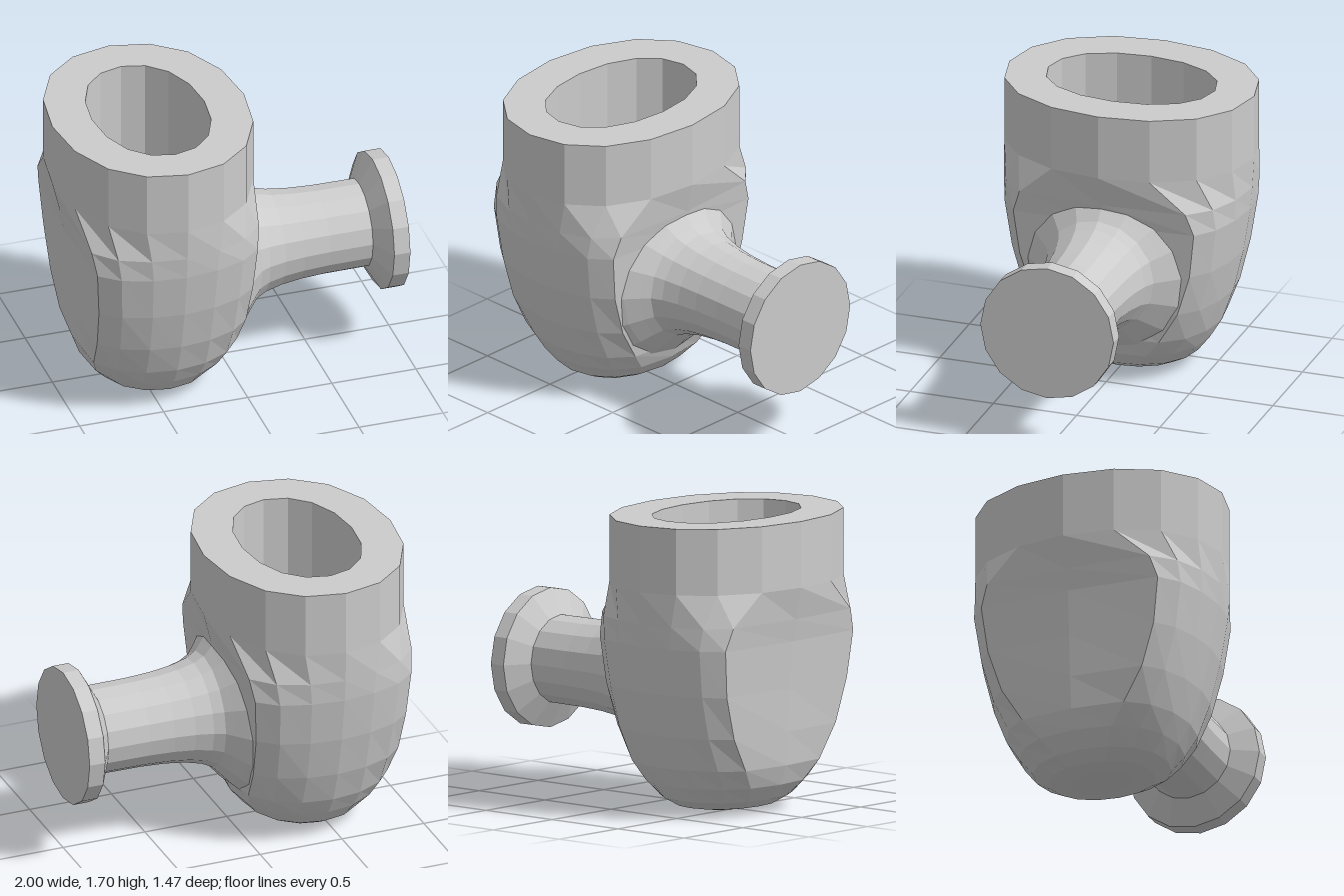
import * as THREE from 'three';

const SIDES = 16;
const CENTER_X = -0.43;

// Quarter outlines from the x axis to the z axis, as fractions of the half sizes.
const OVAL = [[1, 0], [0.93, 0.4], [0.72, 0.728], [0.4, 0.93], [0, 1]];
const FLAT_SIDED = [[1, 0], [0.95, 0.76], [0.72, 0.89], [0.38, 0.97], [0, 1]];

// Point j of a ring; flat = 0 is an oval, flat = 1 has broad flat sides.
function ringPoint([y, a, b, flat], j) {
  const k = j % SIDES;
  const half = k > 8 ? SIDES - k : k;
  const q = half > 4 ? 8 - half : half;
  const mix = (axis) => THREE.MathUtils.lerp(OVAL[q][axis], FLAT_SIDED[q][axis], flat);
  const x = a * mix(0) * (half > 4 ? -1 : 1);
  const z = b * mix(1) * (k > 8 ? -1 : 1);
  return [CENTER_X + x, y, z];
}

// Skin the rings in order, dropping the triangles that collapse at the poles.
function skinRings(rings) {
  const pos = [];
  for (let i = 0; i < rings.length - 1; i++) {
    for (let j = 0; j < SIDES; j++) {
      const a = ringPoint(rings[i], j);
      const b = ringPoint(rings[i], j + 1);
      const c = ringPoint(rings[i + 1], j);
      const d = ringPoint(rings[i + 1], j + 1);
      if (rings[i][1] > 0) pos.push(...a, ...b, ...c);
      if (rings[i + 1][1] > 0) pos.push(...b, ...d, ...c);
    }
  }
  const geo = new THREE.BufferGeometry();
  geo.setAttribute('position', new THREE.Float32BufferAttribute(pos, 3));
  geo.computeVertexNormals();
  return geo;
}

export function createModel() {
  const group = new THREE.Group();
  const material = new THREE.MeshStandardMaterial({ color: 0xcccccc, flatShading: true });

  const add = (name, geometry) => {
    const mesh = new THREE.Mesh(geometry, material);
    mesh.name = name;
    group.add(mesh);
  };

  // Hollow bowl: cavity floor, cavity wall, rim, outer wall, rounded base.
  // Each ring is [height, half width x, half depth z, flatness of the sides].
  add('bowl', skinRings([
    [0.5, 0, 0, 0],
    [0.5, 0.333, 0.5, 0],
    [1.695, 0.333, 0.5, 0],
    [1.695, 0.57, 0.735, 0],
    [1.315, 0.57, 0.735, 0],
    [1.13, 0.525, 0.724, 0.8],
    [1.0, 0.502, 0.713, 1],
    [0.73, 0.482, 0.67, 1],
    [0.48, 0.468, 0.61, 0.85],
    [0.285, 0.453, 0.54, 0.5],
    [0.17, 0.41, 0.47, 0.2],
    [0.08, 0.335, 0.4, 0],
    [0.03, 0.25, 0.31, 0],
    [0.01, 0.14, 0.19, 0],
    [0, 0, 0, 0],
  ]));

  // Stem flaring into the bowl, with a flanged end: [radius, x].
  const stemProfile = [
    [0.52, -0.03], [0.45, 0.04], [0.38, 0.1], [0.335, 0.14], [0.305, 0.2],
    [0.28, 0.3], [0.265, 0.42], [0.257, 0.57], [0.255, 0.825],
    [0.4, 0.905], [0.4, 1.0], [0, 1.0],
  ].map(([r, x]) => new THREE.Vector2(r, x));
  const stem = new THREE.LatheGeometry(stemProfile, SIDES);
  stem.rotateZ(-Math.PI / 2);
  stem.translate(0, 0.715, 0);
  add('stem', stem);

  return group;
}
